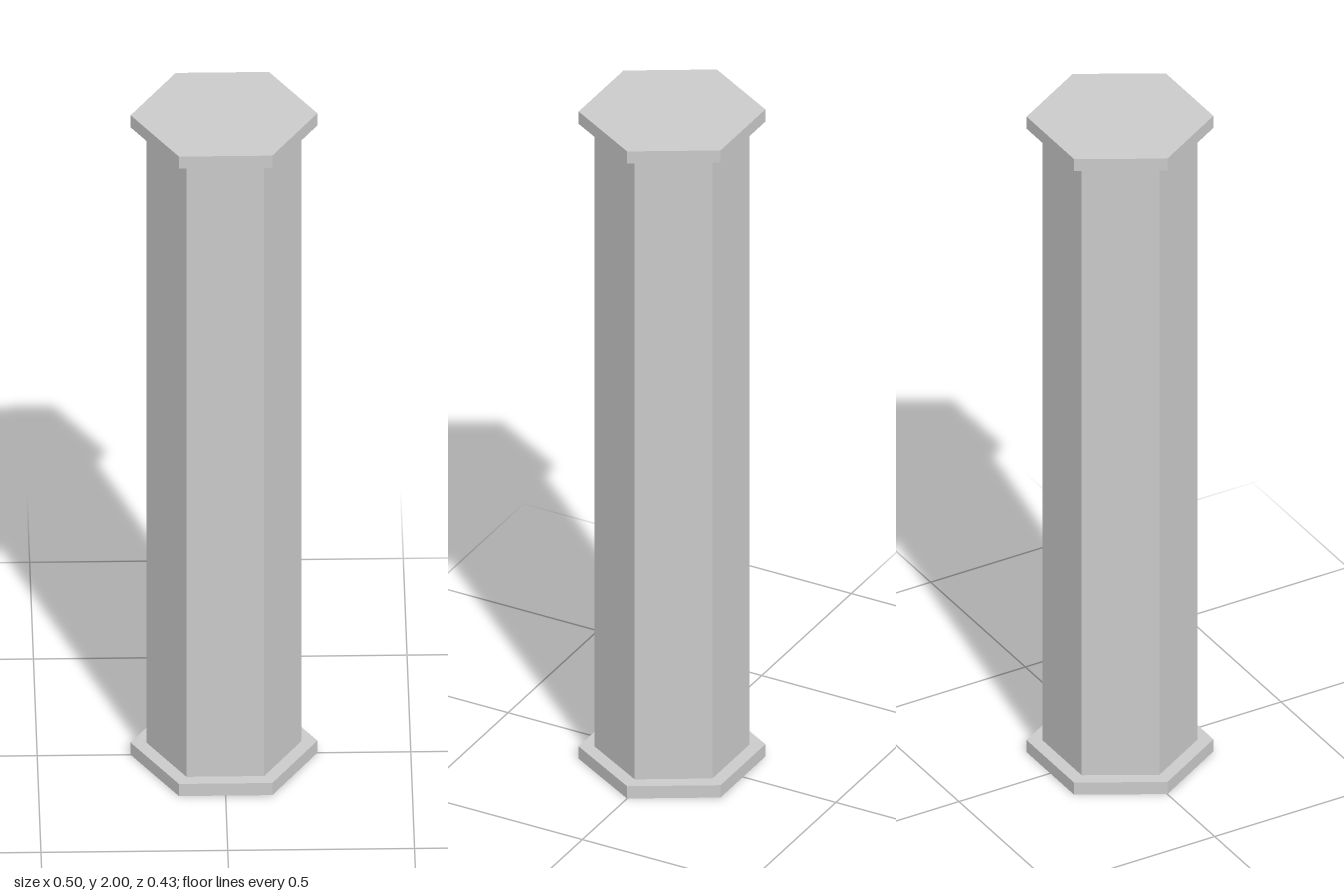
import * as THREE from 'three';

const HEIGHT = 2, PLATE = 0.038;

export function createModel() {
  const group = new THREE.Group();
  group.name = 'hexagonalColumn';
  const material = new THREE.MeshStandardMaterial({ color: 0xcccccc, flatShading: true });

  // Six-sided prism with corners on the x axis
  const addPrism = (name, radius, bottom, height, open = false) => {
    const geometry = new THREE.CylinderGeometry(radius, radius, height, 6, 1, open, Math.PI / 6);
    const mesh = new THREE.Mesh(geometry, material);
    mesh.name = name;
    mesh.position.y = bottom + height / 2;
    group.add(mesh);
  };

  addPrism('basePlate', 0.25, 0, PLATE);
  // The shaft's ends are covered by the plates
  addPrism('shaft', 0.208, PLATE, HEIGHT - 2 * PLATE, true);
  addPrism('topPlate', 0.25, HEIGHT - PLATE, PLATE);

  return group;
}
